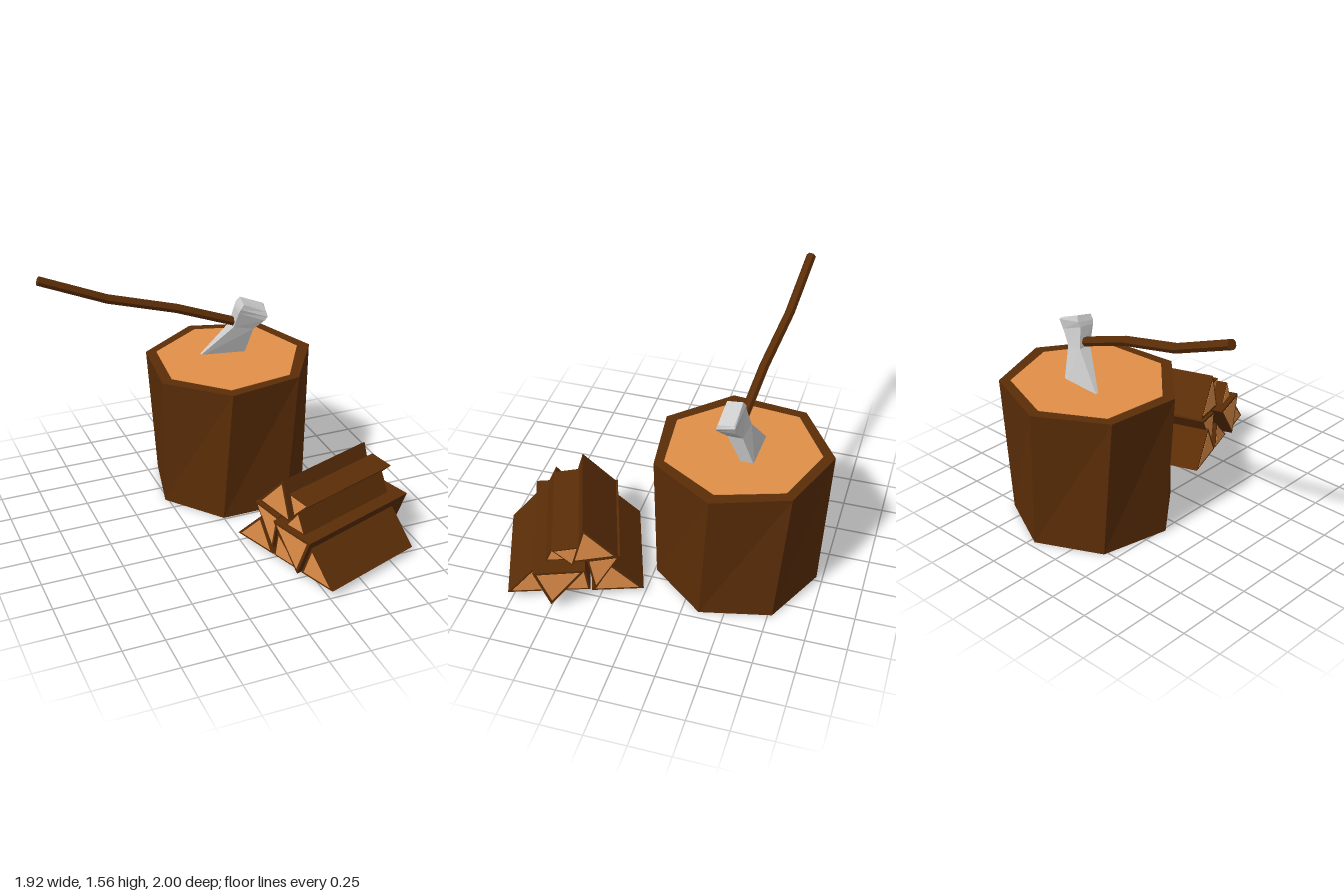
import * as THREE from 'three';

const paint = (color) => new THREE.MeshStandardMaterial({ color, flatShading: true });

// Solid skin over matching rings of [x, y, z], with fan caps at both ends
function loft(rings) {
  const pos = [];
  const tri = (a, b, c) => pos.push(...a, ...b, ...c);
  const n = rings[0].length;
  for (let r = 0; r < rings.length - 1; r++) {
    const a = rings[r], b = rings[r + 1];
    for (let i = 0; i < n; i++) {
      const j = (i + 1) % n;
      tri(a[i], a[j], b[j]);
      tri(a[i], b[j], b[i]);
    }
  }
  const first = rings[0], last = rings[rings.length - 1];
  for (let i = 1; i < n - 1; i++) {
    tri(first[0], first[i + 1], first[i]);
    tri(last[0], last[i], last[i + 1]);
  }
  const g = new THREE.BufferGeometry();
  g.setAttribute('position', new THREE.Float32BufferAttribute(pos, 3));
  g.computeVertexNormals();
  return g;
}

function add(parent, name, geometry, material) {
  const mesh = new THREE.Mesh(geometry, material);
  mesh.name = name;
  parent.add(mesh);
  return mesh;
}

export function createModel() {
  const model = new THREE.Group();
  const bark = paint(0x5b2d07), wood = paint(0xe29049), steel = paint(0xcccccc);

  // Chopping block: seven-sided stump with an uneven, slightly tilted top
  const stump = new THREE.Group();
  stump.name = 'stump';
  model.add(stump);
  const topY = (x) => 0.884 + 0.028 * x;
  const top = [[-0.24, -0.75], [-0.29, -0.29], [0.04, 0.04], [0.5, -0.02], [0.75, -0.41], [0.59, -0.845], [0.15, -1]];
  const inner = [[-0.18, -0.72], [-0.22, -0.32], [0.06, -0.03], [0.46, -0.07], [0.67, -0.42], [0.54, -0.8], [0.16, -0.93]];
  const foot = top.map((_, i) => {
    const a = (i + 1) * Math.PI * 2 / 7;
    return [0.217 - 0.5 * Math.sin(a), 0, -0.463 - 0.5 * Math.cos(a)];
  });
  const level = (ring, dy) => ring.map(([x, z]) => [x, topY(x) + dy, z]);
  add(stump, 'stumpBark', loft([foot, level(top, 0)]), bark);
  add(stump, 'stumpCutTop', loft([level(inner, -0.02), level(inner, 0.003)]), wood);

  // Split logs: cross-section corners [across, up], start and end along the pile
  const pile = new THREE.Group();
  pile.name = 'logPile';
  pile.rotation.y = 0.34;
  model.add(pile);
  const logs = [
    { from: -0.08, to: 0.61, at: [[0.53, 0.045], [0.22, 0.045], [0.415, 0.255]] },
    { from: -0.08, to: 0.6, at: [[0.74, 0.045], [0.54, 0.045], [0.565, 0.215]] },
    { from: -0.085, to: 0.6, at: [[1.03, 0.045], [0.775, 0.045], [0.85, 0.25]] },
    { from: -0.115, to: 0.715, at: [[0.865, 0.3], [0.77, 0.045], [0.56, 0.31]] },
    { from: -0.065, to: 0.625, at: [[0.55, 0.305], [0.51, 0.07], [0.355, 0.33]] },
    { from: -0.085, to: 0.62, at: [[0.79, 0.312], [0.64, 0.312], [0.735, 0.438]] },
    { from: -0.015, to: 0.69, at: [[0.745, 0.452], [0.63, 0.33], [0.59, 0.47]] },
    { from: -0.05, to: 0.64, at: [[0.64, 0.305], [0.368, 0.337], [0.565, 0.56]] },
  ];
  logs.forEach(({ from, to, at }, k) => {
    const mid = [0, 1].map((c) => at.reduce((s, p) => s + p[c], 0) / at.length);
    const slice = (x, s) => at.map(([z, y]) => [x, mid[1] + (y - mid[1]) * s, mid[0] + (z - mid[0]) * s]);
    add(pile, `logBark${k + 1}`, loft([slice(from, 1), slice(to, 1)]), bark);
    // Pale core shows only as the cut face on each end
    add(pile, `logCutEnds${k + 1}`, loft([slice(from - 0.002, 0.82), slice(to + 0.002, 0.82)]), wood);
  });

  // Axe stuck in the stump: blade edge, neck, flared poll
  const axe = new THREE.Group();
  axe.name = 'axe';
  model.add(axe);
  add(axe, 'axeHead', loft([
    [[0.04, 0.86, -0.58], [0.04, 0.86, -0.57], [0.33, 0.86, -0.5], [0.33, 0.86, -0.572]],
    [[0.24, 1.1, -0.52], [0.24, 1.1, -0.44], [0.36, 1.08, -0.41], [0.36, 1.08, -0.5]],
    [[0.262, 1.22, -0.49], [0.256, 1.21, -0.395], [0.415, 1.145, -0.365], [0.425, 1.155, -0.475]],
    [[0.275, 1.25, -0.495], [0.265, 1.235, -0.385], [0.435, 1.17, -0.36], [0.455, 1.21, -0.475]],
    [[0.295, 1.282, -0.48], [0.285, 1.265, -0.385], [0.43, 1.2, -0.37], [0.445, 1.222, -0.467]],
  ]), steel);

  // Bent six-sided handle with a closed end
  const path = new THREE.CatmullRomCurve3([
    [-0.945, 1.535, -0.59], [-0.54, 1.37, -0.555], [-0.13, 1.265, -0.505], [0.3, 1.11, -0.465],
  ].map((p) => new THREE.Vector3(...p)), false, 'catmullrom', 0);
  add(axe, 'axeHandle', new THREE.TubeGeometry(path, 3, 0.029, 6), bark);
  const cap = add(axe, 'axeHandleEnd', new THREE.CircleGeometry(0.029, 12), bark);
  const start = path.getPoint(0);
  cap.position.copy(start);
  cap.lookAt(start.clone().multiplyScalar(2).sub(path.getPoint(0.05)));

  return model;
}
